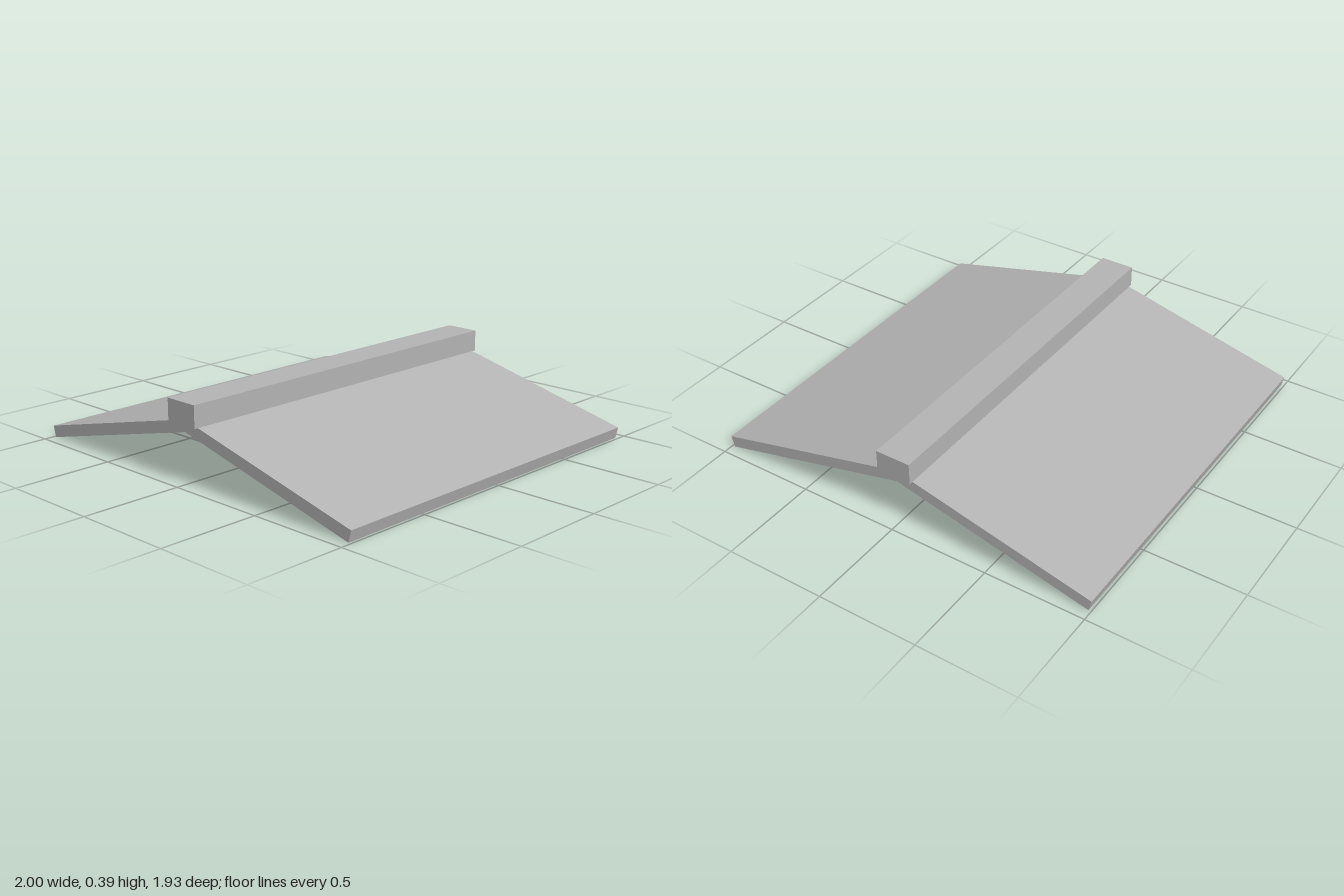
import * as THREE from 'three';

export function createModel() {
  const model = new THREE.Group();
  model.name = 'gableRoof';
  const grey = new THREE.MeshStandardMaterial({ color: 0xb4b4b4 });
  grey.name = 'plain grey';

  // Two sloping slabs meeting at the ridge, one profile run front to back
  const length = 1.89;
  const profile = new THREE.Shape([
    [-1, 0.056], [-0.986, 0], [0, 0.242], [0.986, 0], [1, 0.056], [0, 0.3],
  ].map(([x, y]) => new THREE.Vector2(x, y)));
  const slabGeometry = new THREE.ExtrudeGeometry(profile, { depth: length, bevelEnabled: false });
  slabGeometry.translate(0, 0, -length / 2);
  const slabs = new THREE.Mesh(slabGeometry, grey);
  slabs.name = 'roofSlabs';

  // Square beam capping the ridge, slightly longer than the slabs
  const ridge = new THREE.Mesh(new THREE.BoxGeometry(0.176, 0.107, 1.93), grey);
  ridge.name = 'ridgeBeam';
  ridge.position.y = 0.3325;

  model.add(slabs, ridge);
  return model;
}
